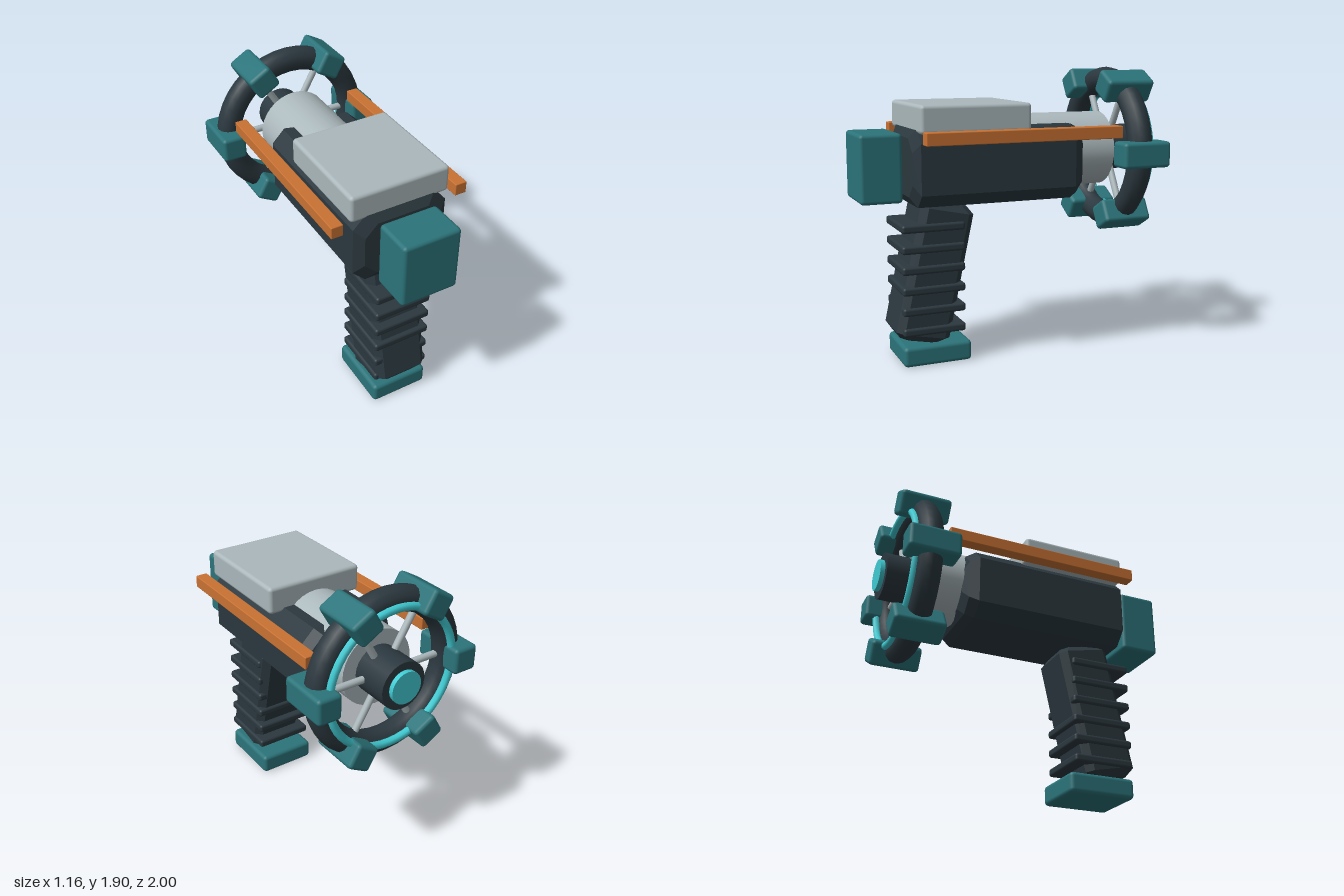
import * as THREE from 'three';
import { RoundedBoxGeometry } from 'three/addons/geometries/RoundedBoxGeometry.js';

const paint = (name, color, flatShading = false) => {
  const m = new THREE.MeshStandardMaterial({ color, flatShading });
  m.name = name;
  return m;
};

// Octagonal prism along z; each section is [z, inset from the full outline]
function chamferedPrism(hw, hh, chamfer, sections) {
  const pos = [], idx = [];
  for (const [z, inset] of sections) {
    const w = hw - inset, h = hh - inset, c = chamfer;
    const ring = [[w, -h + c], [w, h - c], [w - c, h], [-w + c, h],
      [-w, h - c], [-w, -h + c], [-w + c, -h], [w - c, -h]];
    for (const [x, y] of ring) pos.push(x, y, z);
  }
  const last = (sections.length - 1) * 8;
  for (let i = 0; i < last; i += 8) {
    for (let j = 0; j < 8; j++) {
      const k = (j + 1) % 8;
      idx.push(i + j, i + k, i + 8 + k, i + j, i + 8 + k, i + 8 + j);
    }
  }
  for (let j = 1; j < 7; j++) {
    idx.push(0, j + 1, j, last, last + j, last + j + 1);
  }
  const indexed = new THREE.BufferGeometry();
  indexed.setAttribute('position', new THREE.Float32BufferAttribute(pos, 3));
  indexed.setIndex(idx);
  const g = indexed.toNonIndexed();
  g.computeVertexNormals();
  return g;
}

export function createModel() {
  const model = new THREE.Group();
  model.name = 'wheeledHandTool';

  const dark = paint('charcoal', 0x2b383f);
  const teal = paint('teal', 0x2b747a);
  const grey = paint('lightGrey', 0xabb8bc);
  const orange = paint('orange', 0xc97233);
  const cyan = paint('cyan', 0x40cbd3);

  const add = (name, geometry, material, x, y, z, parent = model) => {
    const mesh = new THREE.Mesh(geometry, material);
    mesh.name = name;
    mesh.position.set(x, y, z);
    parent.add(mesh);
    return mesh;
  };
  const box = (w, h, d, r) => new RoundedBoxGeometry(w, h, d, 2, r);
  const rod = (r, z0, z1, sides = 32) =>
    new THREE.CylinderGeometry(r, r, z1 - z0, sides).rotateX(Math.PI / 2).translate(0, 0, (z0 + z1) / 2);

  // Body, top plate and block at the front
  add('body', chamferedPrism(0.32, 0.245, 0.085,
    [[-0.49, 0.085], [-0.46, 0.03], [-0.4, 0], [0.65, 0], [0.69, 0.06]]), dark, 0, 1.295, 0);
  add('topPlate', box(0.675, 0.18, 0.73, 0.025), grey, 0, 1.6, 0.29);
  add('frontBlock', box(0.39, 0.435, 0.27, 0.025), teal, 0, 1.295, 0.865);

  // Side rails
  for (const side of [-1, 1]) {
    add(side > 0 ? 'leftRail' : 'rightRail', box(0.08, 0.08, 1.32, 0.006), orange, side * 0.427, 1.495, 0);
  }

  // Tilted grip with level ribs and a foot
  const grip = add('grip', chamferedPrism(0.185, 0.182, 0.045,
    [[-0.46, 0.045], [-0.415, 0], [0.415, 0], [0.46, 0.045]]).rotateX(Math.PI / 2), dark, 0, 0.598, 0.515);
  grip.rotation.x = -0.21;
  for (let i = 0; i < 6; i++) {
    add('gripRib' + (i + 1), box(0.4, 0.055, 0.42, 0.018), dark, 0, 0.908 - i * 0.135, 0.535);
  }
  add('foot', box(0.4, 0.135, 0.46, 0.028), teal, 0, 0.0675, 0.515);

  // Barrel, hub and end cap
  const axisY = 1.35;
  add('barrel', rod(0.25, -0.72, 0), grey, 0, axisY, 0);
  add('hub', rod(0.155, -0.97, -0.7, 24), dark, 0, axisY, 0);
  add('hubCap', rod(0.105, -1, -0.96, 24), cyan, 0, axisY, 0);

  // Wheel with a glowing ring, six spokes and six blocks
  const wheel = new THREE.Group();
  wheel.name = 'wheel';
  wheel.position.set(0, axisY, -0.785);
  model.add(wheel);
  add('rim', new THREE.TorusGeometry(0.47, 0.081, 12, 40), dark, 0, 0, 0, wheel);
  add('rimLight', new THREE.TorusGeometry(0.45, 0.026, 8, 48), cyan, 0, 0, -0.085, wheel);
  for (let i = 0; i < 6; i++) {
    const arm = new THREE.Group();
    arm.name = 'wheelArm' + (i + 1);
    arm.rotation.z = i * Math.PI / 3;
    wheel.add(arm);
    add('spoke', new THREE.CylinderGeometry(0.023, 0.023, 0.35, 12).rotateZ(Math.PI / 2), grey, 0.275, 0, 0, arm);
    add('rimBlock', box(0.165, 0.17, 0.34, 0.025), teal, 0.496, 0, 0, arm);
  }
  return model;
}
